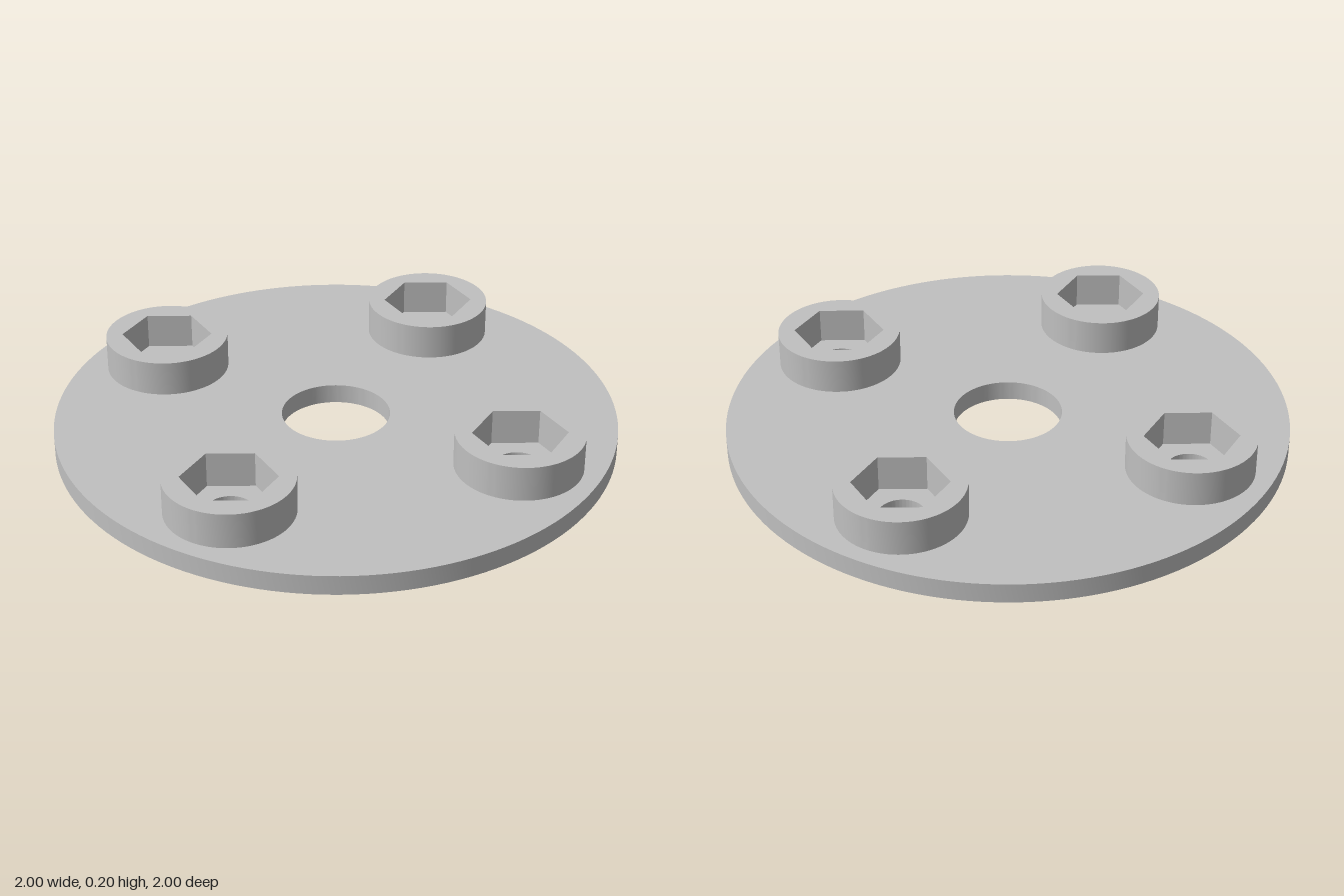
import * as THREE from 'three';
import { toCreasedNormals } from 'three/addons/utils/BufferGeometryUtils.js';

const PLATE_TOP = 0.0715;
const BOSS_TOP = 0.2;
const BOLT_CIRCLE = 0.715;

const circle = (Type, x, y, r) => new Type().absarc(x, y, r, 0, Math.PI * 2, false);

// Extrudes a flat outline upward from y = 0, smooth on curves and sharp on edges
function extrudeUp(shape, height) {
  const geometry = new THREE.ExtrudeGeometry(shape, {
    depth: height, bevelEnabled: false, curveSegments: 72,
  });
  geometry.rotateX(-Math.PI / 2);
  return toCreasedNormals(geometry, 0.5);
}

export function createModel() {
  const model = new THREE.Group();
  model.name = 'flangePlate';
  const metal = new THREE.MeshStandardMaterial({ color: 0xc0c0c0 });
  metal.name = 'grey metal';

  const angles = [0, 1, 2, 3].map((i) => (i * Math.PI) / 2);

  // Round plate with a centre bore and four bolt holes
  const plateShape = circle(THREE.Shape, 0, 0, 1);
  plateShape.holes.push(circle(THREE.Path, 0, 0, 0.193));
  for (const a of angles) {
    plateShape.holes.push(
      circle(THREE.Path, BOLT_CIRCLE * Math.cos(a), BOLT_CIRCLE * Math.sin(a), 0.08));
  }
  const plate = new THREE.Mesh(extrudeUp(plateShape, PLATE_TOP), metal);
  plate.name = 'plate';
  model.add(plate);

  // Raised bosses with hexagonal pockets, corners pointing along z
  const bossShape = circle(THREE.Shape, 0, 0, 0.223);
  const hexagon = [];
  for (let i = 0; i < 6; i++) {
    const a = Math.PI / 2 + (i * Math.PI) / 3;
    hexagon.push(new THREE.Vector2(0.164 * Math.cos(a), 0.164 * Math.sin(a)));
  }
  bossShape.holes.push(new THREE.Path(hexagon));
  const bossGeometry = extrudeUp(bossShape, BOSS_TOP - PLATE_TOP);
  angles.forEach((a, i) => {
    const boss = new THREE.Mesh(bossGeometry, metal);
    boss.name = `hexPocketBoss${i + 1}`;
    boss.position.set(BOLT_CIRCLE * Math.cos(a), PLATE_TOP, BOLT_CIRCLE * Math.sin(a));
    model.add(boss);
  });

  return model;
}
